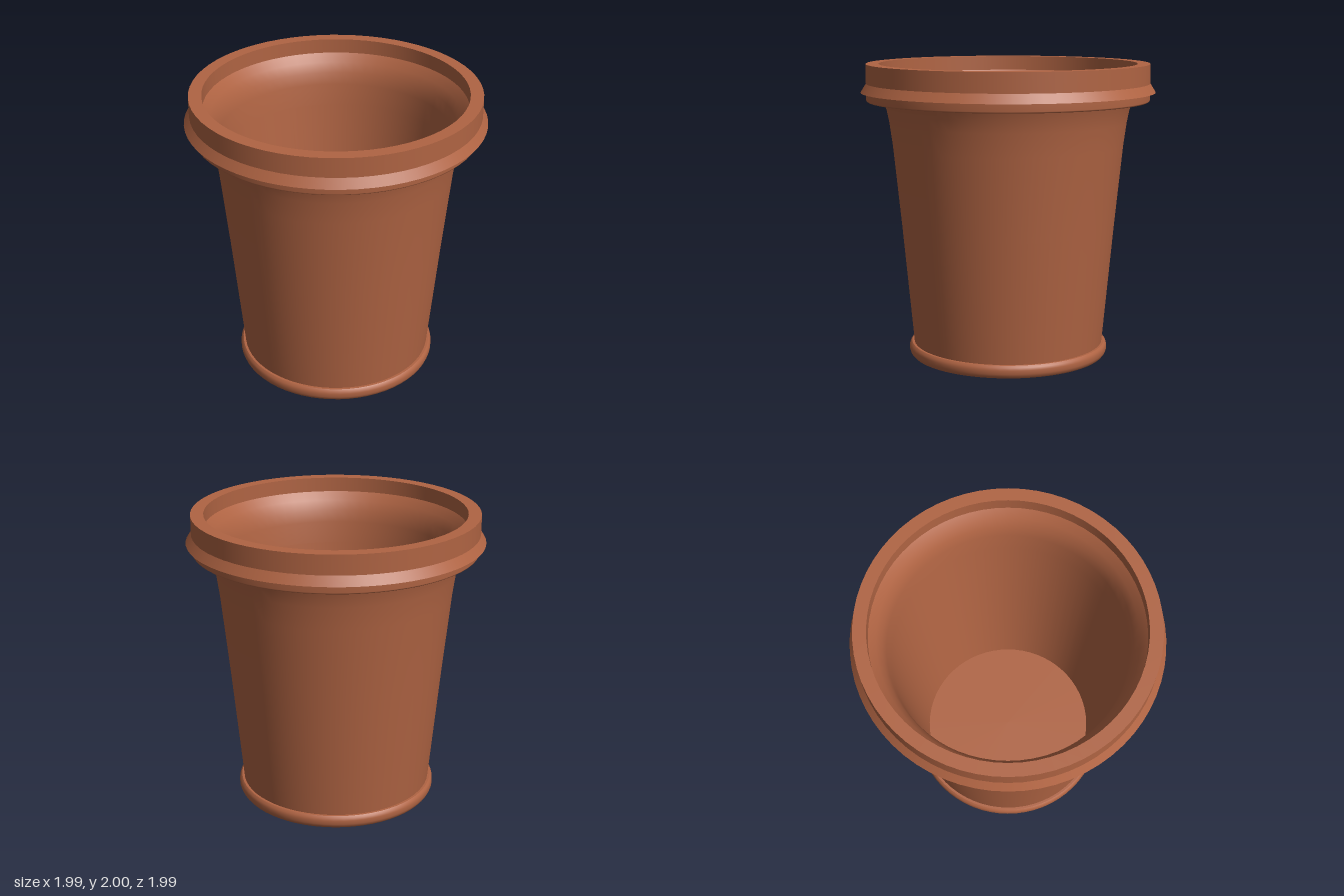
import * as THREE from 'three';

const SEGMENTS = 64;

export function createModel() {
  const pot = new THREE.Group();
  pot.name = 'flowerPot';
  const terracotta = new THREE.MeshStandardMaterial({ color: 0xb06443 });
  terracotta.name = 'terracotta';

  // Each named part is a set of turned profiles; separate profiles meet at sharp edges.
  // Outer faces run upwards, inner faces run downwards.
  function turned(name, profiles) {
    const part = new THREE.Group();
    part.name = name;
    profiles.forEach((profile, i) => {
      const points = profile.map(([r, y]) => new THREE.Vector2(r, y));
      const mesh = new THREE.Mesh(new THREE.LatheGeometry(points, SEGMENTS), terracotta);
      mesh.name = `${name}Face${i + 1}`;
      part.add(mesh);
    });
    pot.add(part);
  }

  // Rolled foot around a hollow underside
  turned('foot', [
    [[0.668, 0], [0.678, 0.012], [0.685, 0.03], [0.685, 0.055], [0.68, 0.073], [0.668, 0.085]],
    [[0.668, 0.085], [0.65, 0.085]],
    [[0.66, 0.08], [0.66, 0]],
    [[0.66, 0], [0.668, 0]],
  ]);
  turned('underside', [[[0, 0.08], [0.66, 0.08]]]);

  // Tapered wall flaring out below the rim
  turned('outerWall', [
    [[0.652, 0.085], [0.727, 0.9], [0.782, 1.45], [0.804, 1.61], [0.82, 1.69], [0.84, 1.75]],
  ]);

  // Rim with a drip flange
  turned('rim', [
    [[0.84, 1.75], [0.948, 1.75]],
    [[0.948, 1.75], [0.953, 1.753], [0.956, 1.76], [0.956, 1.81]],
    [[0.956, 1.87], [0.956, 2]],
    [[0.956, 2], [0.87, 2]],
    [[0.87, 2], [0.87, 1.9]],
  ]);
  turned('dripFlange', [
    [[0.956, 1.81], [0.993, 1.81]],
    [[0.993, 1.81], [0.956, 1.87]],
  ]);

  // Inside of the pot
  turned('innerWall', [
    [[0.87, 1.9], [0.825, 1.845], [0.792, 1.78], [0.772, 1.7], [0.755, 1.55], [0.59, 0.12]],
  ]);
  turned('floor', [[[0.59, 0.12], [0, 0.12]]]);

  return pot;
}
